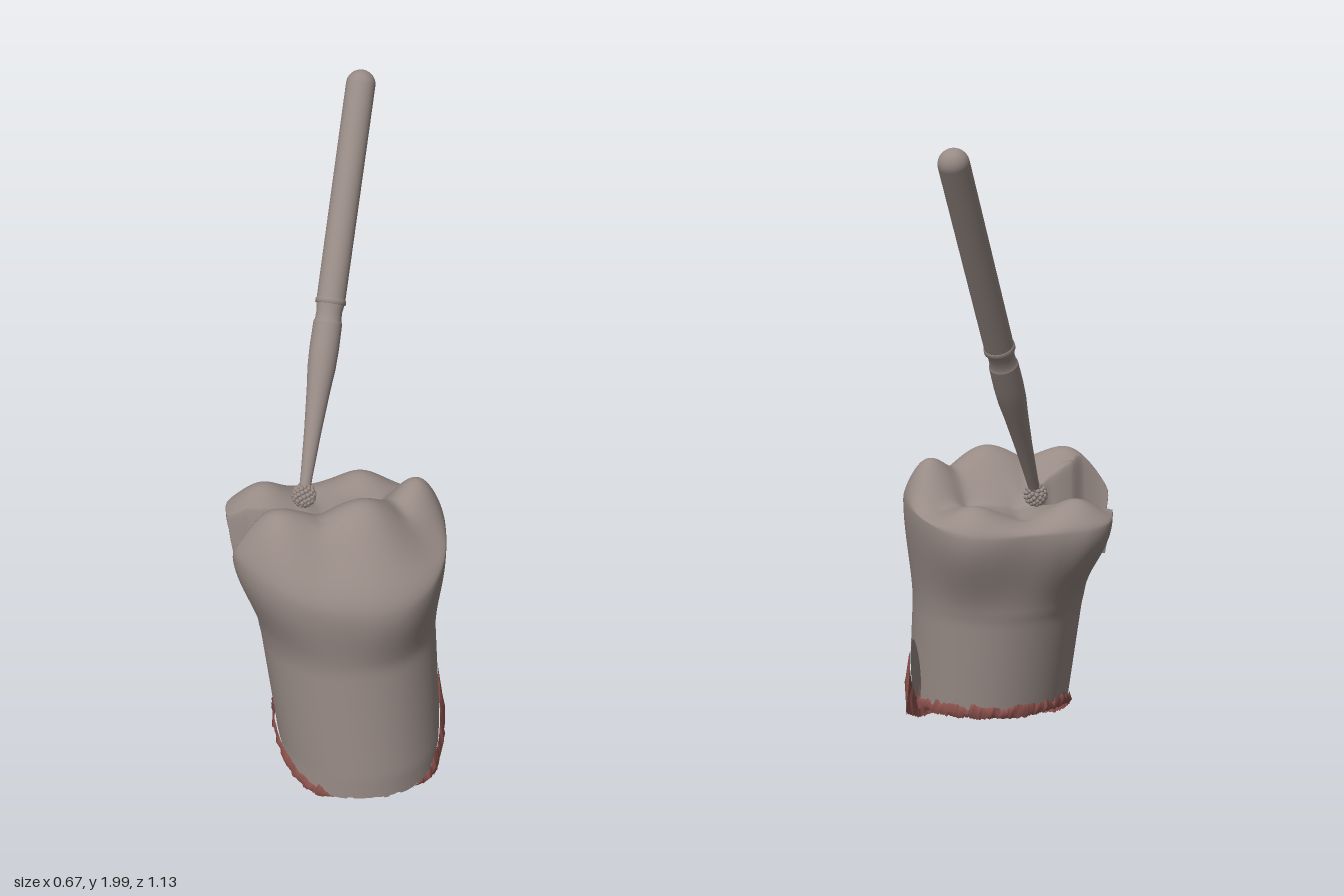
import * as THREE from 'three';

const { smoothstep, lerp } = THREE.MathUtils;
const N = 360;
const CX = 0, CZ = 0.21;
const noise = (i) => { const v = Math.sin(i * 127.1 + 3.7) * 43758.5; return v - Math.floor(v); };

// Crown outline seen from above (x, z)
const outline = [
  [-0.32, 0.04], [-0.298, -0.045], [-0.24, -0.09], [-0.15, -0.105], [-0.05, -0.112], [0.08, -0.13], [0.15, -0.122],
  [0.21, -0.085], [0.28, 0.015], [0.32, 0.13], [0.33, 0.22], [0.317, 0.32], [0.29, 0.41], [0.24, 0.485],
  [0.16, 0.54], [0.07, 0.56], [-0.02, 0.553], [-0.11, 0.53], [-0.21, 0.483], [-0.295, 0.4], [-0.34, 0.3],
  [-0.325, 0.2], [-0.32, 0.12],
];
// Each crown point carries the height of the widest line as its y
const crown = new THREE.CatmullRomCurve3(outline.map(([x, z]) => new THREE.Vector3(x, 0, z)), true)
  .getSpacedPoints(N).slice(0, N);
for (const p of crown) {
  const n = (p.z - CZ) / 0.345;
  p.y = 0.82 - (n > 0 ? 0.13 : 0.06) * n * n;
}

// Cusps: x, z, height, radius
const cusps = [
  [-0.22, 0.33, 0.165, 0.15], [0.06, 0.33, 0.165, 0.15], [0.27, 0.2, 0.16, 0.11],
  [0.13, -0.05, 0.06, 0.1], [-0.2, -0.02, 0.07, 0.1],
];
// Fissures: straight segments x1, z1, x2, z2
const fissures = [
  [-0.1, 0.13, 0.13, 0.13], [0.13, 0.13, 0.22, 0.07], [-0.02, 0.13, -0.03, 0],
  [-0.07, 0.2, -0.07, 0.34], [0.13, 0.13, 0.18, 0.3],
];

function segmentDistance(x, z, [x1, z1, x2, z2]) {
  const dx = x2 - x1, dz = z2 - z1;
  const t = Math.min(1, Math.max(0, ((x - x1) * dx + (z - z1) * dz) / (dx * dx + dz * dz)));
  return Math.hypot(x - x1 - t * dx, z - z1 - t * dz);
}

function occlusal(x, z) {
  let y = 0.8;
  for (const [cx, cz, h, r] of cusps) y += h * Math.exp(-((x - cx) ** 2 + (z - cz) ** 2) / (r * r));
  for (const f of fissures) y -= 0.01 * Math.exp(-((segmentDistance(x, z, f) / 0.035) ** 2));
  return y;
}

// Stepped cavity drilled in from the -x side, with a rounded inner end
function cavity(x, z) {
  const t = smoothstep(x, -0.34, -0.12);
  const mid = lerp(0.18, 0.15, t), half = lerp(0.055, 0.01, t);
  const d = Math.hypot(Math.max(0, Math.abs(z - mid) - half), Math.max(0, x + 0.15));
  return lerp(0.66, 0.765, smoothstep(x, -0.26, -0.21)) + 6 * Math.max(0, d - 0.033);
}

function smoothMin(a, b, k) {
  const h = Math.max(0, k - Math.abs(a - b)) / k;
  return Math.min(a, b) - h * h * k / 4;
}

// Point on the tooth wall at column p and height y: tapering root swelling into the crown
function wall(p, y, offset = 0) {
  const t = Math.min(1, Math.max(0, (y - 0.1) / 0.4));
  const a = Math.atan2((p.z - CZ) / 0.345, (p.x - CX) / 0.33);
  const rx = lerp(0.057, 0.025, t) + (lerp(0.258, 0.275, t) + offset) * Math.cos(a);
  const rz = lerp(0.285, 0.24, t) + (lerp(0.275, 0.29, t) + offset) * Math.sin(a);
  const k = smoothstep(y, 0.46, p.y);
  return [lerp(rx, p.x, k), y, lerp(rz, p.z, k)];
}

// Slanted bottom of the root
function bottomLine(p, i) {
  const z = wall(p, 0.15)[2];
  return 0.165 - 0.145 * smoothstep(z, 0.1, 0.53) + 0.01 * noise(i >> 2);
}

// Broken lower edge: an arch on the +x side, torn away in a slope in front of it
function lowerEdge(p, i) {
  const [x, , z] = wall(p, 0.15), y = bottomLine(p, i);
  if (x < 0.12 || z < 0.155) return y;
  if (z < 0.305) return Math.max(y, 0.19 + 0.17 * Math.sqrt(1 - ((z - 0.23) / 0.076) ** 2));
  return y + 0.19 * Math.max(0, 1 - (z - 0.305) / 0.2) ** 1.7;
}

// Closed-loop surface from rows of N points
function loft(rows) {
  const index = [];
  for (let j = 0; j < rows.length - 1; j++) for (let i = 0; i < N; i++) {
    const a = j * N + i, b = j * N + (i + 1) % N;
    index.push(a, a + N, b, b, a + N, b + N);
  }
  const geo = new THREE.BufferGeometry();
  geo.setAttribute('position', new THREE.Float32BufferAttribute(rows.flat(2), 3));
  geo.setIndex(index);
  geo.computeVertexNormals();
  return geo;
}

function toothGeometry() {
  const rows = [], WALL = 40, TOP = 90;
  const rims = crown.map((p) => wall(p, p.x < -0.2 ? Math.min(p.y, cavity(p.x, p.z)) : p.y));
  for (let j = 0; j <= WALL; j++)
    rows.push(crown.map((p, i) => wall(p, lerp(lowerEdge(p, i), rims[i][1], j / WALL))));
  for (let j = 1; j <= TOP; j++) {
    const s = Math.max(0.002, 1 - (j / TOP) ** 1.3);
    rows.push(rims.map(([rx, ry, rz], i) => {
      const x = lerp(CX, rx, s), z = lerp(CZ, rz, s);
      const y = crown[i].y + (occlusal(x, z) - crown[i].y) * Math.sqrt(1 - s ** 6);
      return [x, smoothMin(y, cavity(x, z), 0.02), z];
    }));
  }
  return loft(rows);
}

// Ragged tissue along the broken edge: none at the front or in the arch, a hanging flap beside the arch
function tissueGeometry() {
  const spec = [[-0.02, 0.006, 1], [0.004, 0.014, 0.4], [0.022, 0.003, 0]];
  return loft(spec.map(([dy, off, drop], j) => crown.map((p, i) => {
    const [x, , z] = wall(p, 0.15);
    const front = smoothstep(z, 0.36, 0.46) * (1 - smoothstep(x, 0.17, 0.25)) * (1 - smoothstep(-x, 0.07, 0.13));
    const inArch = x > 0.12 && z > 0.155 && z < 0.305;
    const rough = 0.4 + 0.7 * noise((i >> 2) + j * 71) + 0.3 * noise(i + j * 31);
    const w = inArch ? 0 : (1 - front) * rough;
    const edge = lowerEdge(p, i);
    const y = edge + dy * w - (inArch ? 0 : drop * (edge - bottomLine(p, i)));
    return wall(p, Math.max(0.003, y), off * w + 0.002 * Math.sign(w));
  })));
}

export function createModel() {
  const model = new THREE.Group();
  const enamel = new THREE.MeshStandardMaterial({ color: 0x988b86, side: THREE.DoubleSide });
  enamel.name = 'warm grey';
  const tissue = new THREE.MeshStandardMaterial({ color: 0x8c524d, side: THREE.DoubleSide });
  tissue.name = 'red brown';
  const add = (parent, name, geo, mat) => {
    const mesh = new THREE.Mesh(geo, mat);
    mesh.name = name;
    parent.add(mesh);
    return mesh;
  };

  add(model, 'tooth', toothGeometry(), enamel);
  add(model, 'tissueEdge', tissueGeometry(), tissue);

  // Drill bur, built along +y and tilted into place
  const bur = new THREE.Group();
  bur.name = 'bur';
  const tip = new THREE.Vector3(-0.08, 0.86, 0.08), end = new THREE.Vector3(0.22, 1.955, -0.525);
  const axis = end.clone().sub(tip), L = axis.length();
  bur.position.copy(tip);
  bur.quaternion.setFromUnitVectors(new THREE.Vector3(0, 1, 0), axis.normalize());
  model.add(bur);

  const lathe = (pts) => new THREE.LatheGeometry(pts.map(([r, y]) => new THREE.Vector2(r, y)), 40);
  add(bur, 'neck', lathe([[0.017, 0], [0.019, 0.06], [0.027, 0.2], [0.037, 0.33], [0.044, 0.4], [0.046, 0.46], [0.045, 0.54]]), enamel);
  add(bur, 'shoulder', lathe([[0.045, 0.54], [0.041, 0.55], [0.04, 0.575], [0.044, 0.6]]), enamel);
  add(bur, 'collar', lathe([[0.04, 0.598], [0.048, 0.6], [0.048, 0.612], [0.045, 0.616]]), enamel);
  const shaft = [[0.045, 0.61]];
  for (let i = 0; i <= 10; i++) {
    const a = (i / 10) * Math.PI / 2;
    shaft.push([0.046 * Math.cos(a), L + 0.046 * Math.sin(a)]);
  }
  add(bur, 'shaft', lathe(shaft), enamel);

  // Round cutting head covered in grit
  add(bur, 'head', new THREE.SphereGeometry(0.031, 24, 16), enamel);
  const grain = new THREE.IcosahedronGeometry(0.008, 1);
  for (let i = 0; i < 70; i++) {
    const y = 1 - (2 * i + 1) / 70, r = Math.sqrt(1 - y * y), a = i * 2.39996;
    add(bur, 'grit', grain, enamel).position.set(r * Math.cos(a), y, r * Math.sin(a)).multiplyScalar(0.032);
  }
  return model;
}
